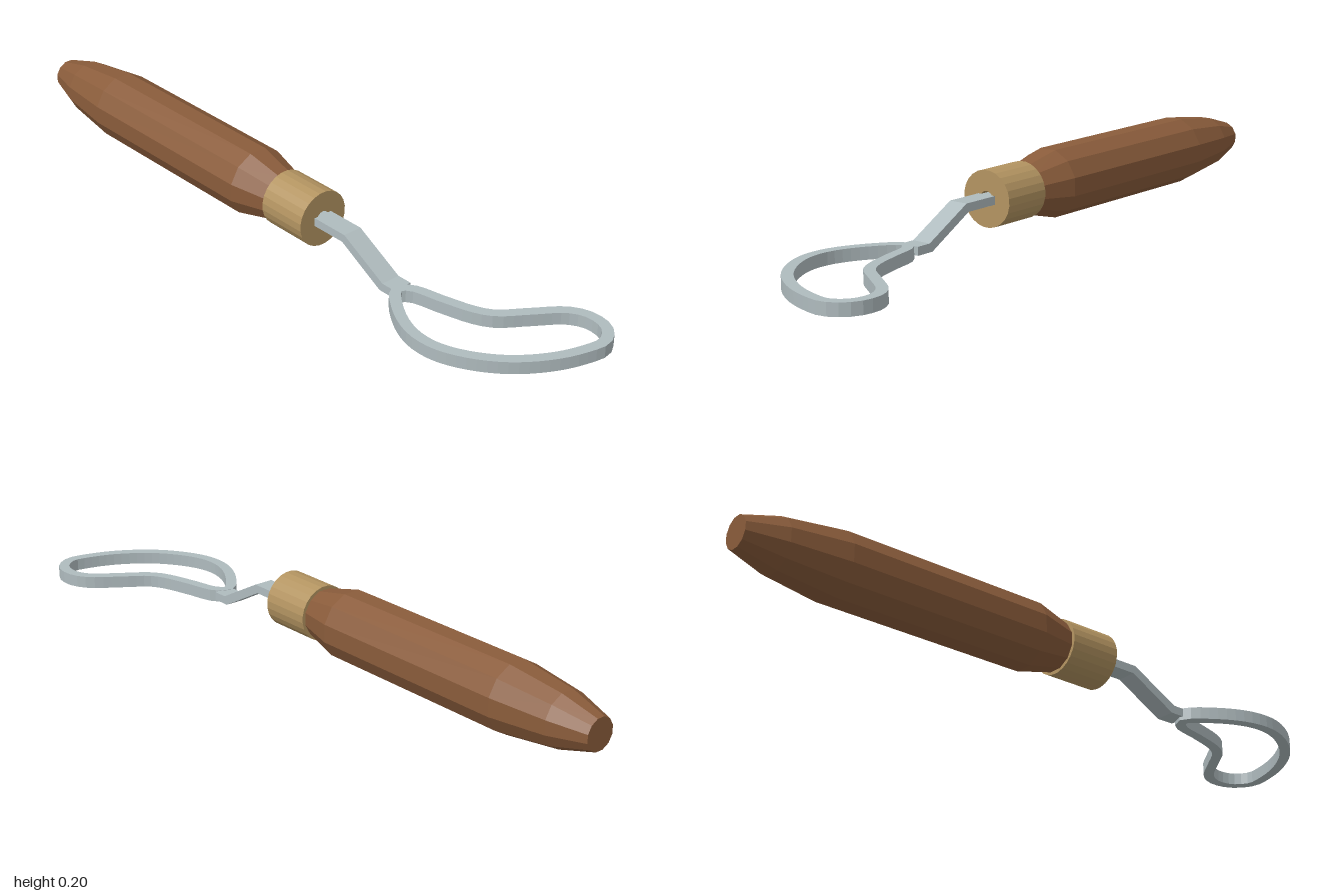
import * as THREE from 'three';

const AXIS_X = -0.067, AXIS_Y = 0.102;

export function createModel() {
  const group = new THREE.Group();
  const material = (name, color) => {
    const m = new THREE.MeshStandardMaterial({ color, flatShading: true });
    m.name = name;
    return m;
  };
  const wood = material('brownWood', 0x8a5c3b);
  const brass = material('brass', 0xb39461);
  const steel = material('steel', 0xafbbbe);

  const add = (name, geometry, mat) => {
    const mesh = new THREE.Mesh(geometry, mat);
    mesh.name = name;
    group.add(mesh);
    return mesh;
  };

  // Turned parts: profile of [radius, z], ordered from back to front
  const turned = (name, profile, sides, mat) => {
    const points = profile.map(([r, z]) => new THREE.Vector2(r, z));
    const geometry = new THREE.LatheGeometry(points, sides, Math.PI / sides);
    geometry.rotateX(Math.PI / 2);
    add(name, geometry, mat).position.set(AXIS_X, AXIS_Y, 0);
  };

  // Twelve-sided wooden handle
  turned('handle', [
    [0, -1], [0.046, -1], [0.078, -0.89], [0.1, -0.72],
    [0.1, -0.1], [0.072, 0.012], [0, 0.012],
  ], 12, wood);

  // Ferrule with a small bore for the tang
  turned('ferrule', [
    [0.022, 0.012], [0.08, 0.012], [0.08, 0.167], [0.022, 0.167], [0.022, 0.012],
  ], 24, brass);

  // Cranked flat tang, profile in (z, y) extruded across x
  const tangWidth = 0.058;
  const tangShape = new THREE.Shape([
    [0.02, 0.09], [0.275, 0.09], [0.42, 0.01], [0.475, 0.01],
    [0.475, 0.034], [0.43, 0.034], [0.283, 0.114], [0.02, 0.114],
  ].map(([z, y]) => new THREE.Vector2(z, y)));
  const tang = new THREE.ExtrudeGeometry(tangShape, { depth: tangWidth, bevelEnabled: false });
  tang.rotateY(-Math.PI / 2);
  add('tang', tang, steel).position.x = AXIS_X + tangWidth / 2;

  // Bent strip loop: closed clockwise centre line in (x, z), offset to both sides
  const centreLine = new THREE.CatmullRomCurve3([
    [-0.085, 0.474], [-0.15, 0.545], [-0.191, 0.635], [-0.194, 0.714],
    [-0.164, 0.794], [-0.1, 0.878], [-0.01, 0.942], [0.074, 0.974],
    [0.137, 0.982], [0.185, 0.945], [0.196, 0.884], [0.172, 0.831],
    [0.095, 0.772], [0.022, 0.718], [-0.005, 0.672], [-0.03, 0.587], [-0.055, 0.495],
  ].map(([x, z]) => new THREE.Vector3(x, z, 0)), true);
  const outline = [], hole = [], half = 0.0155, steps = 56;
  for (let i = 0; i < steps; i++) {
    const p = centreLine.getPointAt(i / steps);
    const t = centreLine.getTangentAt(i / steps);
    outline.push(new THREE.Vector2(p.x - t.y * half, p.y + t.x * half));
    hole.push(new THREE.Vector2(p.x + t.y * half, p.y - t.x * half));
  }
  // The hole runs the other way round so that its walls face inward
  const loopShape = new THREE.Shape(outline);
  loopShape.holes.push(new THREE.Path(hole.reverse()));
  const loop = new THREE.ExtrudeGeometry(loopShape, { depth: 0.035, bevelEnabled: false });
  loop.rotateX(Math.PI / 2);
  add('bladeLoop', loop, steel).position.y = 0.035;

  return group;
}
